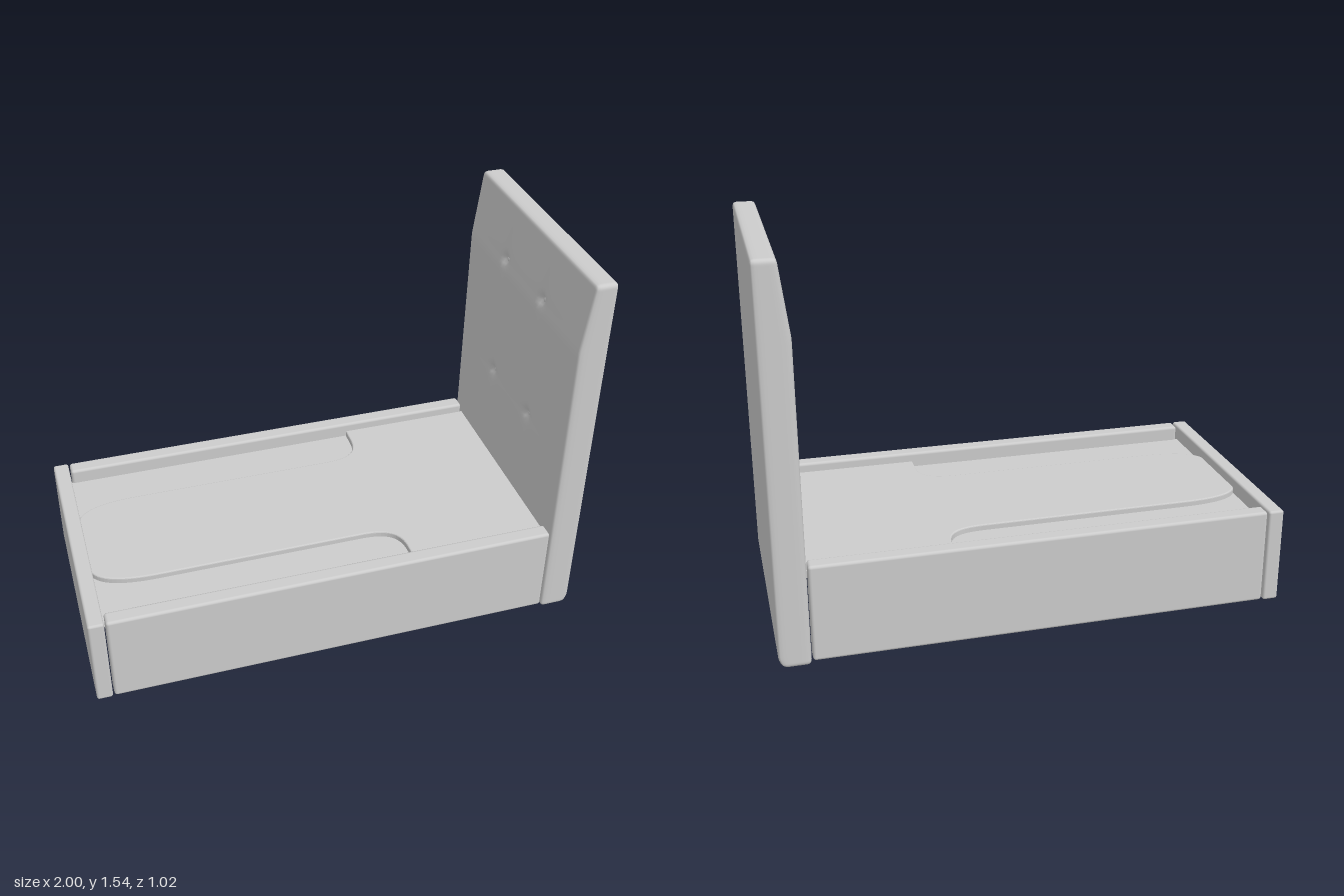
import * as THREE from 'three';
import { mergeVertices } from 'three/addons/utils/BufferGeometryUtils.js';
import { RoundedBoxGeometry } from 'three/addons/geometries/RoundedBoxGeometry.js';

const material = new THREE.MeshStandardMaterial({ color: 0xcccccc });

function addMesh(group, name, geometry, x = 0, y = 0, z = 0) {
  const mesh = new THREE.Mesh(geometry, material);
  mesh.name = name;
  mesh.position.set(x, y, z);
  group.add(mesh);
  return mesh;
}

// Box panel given by its two corners, with softly rounded edges
function addPanel(group, name, min, max, radius) {
  const size = max.map((v, i) => v - min[i]);
  const mid = max.map((v, i) => (v + min[i]) / 2);
  addMesh(group, name, new RoundedBoxGeometry(...size, 3, radius), ...mid);
}

// Tuft positions on the headboard, as [y, z]
const tufts = [];
for (const y of [0.77, 1.3]) for (const z of [-0.17, 0.17]) tufts.push([y, z]);

const taper = (y) => 0.034 * Math.max(0, (y - 1.26) / 0.28);

// Depth of the padding's dimple and its cross-shaped creases
function dimple(y, z) {
  let depth = 0;
  for (const [ty, tz] of tufts) {
    const dy = Math.abs(y - ty), dz = Math.abs(z - tz);
    depth += 0.014 * Math.exp(-(dy * dy + dz * dz) / 0.0006);
    depth += 0.004 * Math.exp(-dy / 0.012 - dz / 0.06);
    depth += 0.004 * Math.exp(-dz / 0.012 - dy / 0.06);
  }
  return depth;
}

// Upholstered headboard: rounded slab, tapered at the top front and tufted
function headboardGeometry() {
  const half = new THREE.Vector3(0.061, 0.77, 0.512);
  const r = 0.018;
  let geo = new THREE.BoxGeometry(2, 2, 2, 8, 120, 90);
  geo.deleteAttribute('normal');
  geo.deleteAttribute('uv');
  geo = mergeVertices(geo);
  const pos = geo.attributes.position;
  const p = new THREE.Vector3(), core = new THREE.Vector3();
  const inner = half.clone().subScalar(r);
  const spread = (u) => 0.3 * u + 0.7 * Math.sin(u * Math.PI / 2);
  for (let i = 0; i < pos.count; i++) {
    p.fromBufferAttribute(pos, i);
    p.set(spread(p.x), spread(p.y), spread(p.z)).multiply(half);
    core.copy(p).clamp(inner.clone().negate(), inner);
    p.sub(core).normalize().multiplyScalar(r).add(core);
    const y = p.y + half.y;
    const front = (half.x - p.x) / (2 * half.x);
    p.x += front * (taper(y) + dimple(y, p.z));
    // Softer roll along the bottom back edge
    const roll = Math.max(0, 1 - y / 0.05);
    p.x -= (1 - front) * 0.02 * roll * roll;
    pos.setXYZ(i, p.x, p.y, p.z);
  }
  geo.computeVertexNormals();
  return geo;
}

// Platform deck: full width at the head, narrowed by a shallow pocket each side
function deckGeometry() {
  const s = new THREE.Shape();
  s.moveTo(0.885, -0.45);
  s.lineTo(0.885, 0.45);
  s.lineTo(0.312, 0.45);
  s.lineTo(0.312, 0.38);
  s.bezierCurveTo(0.312, 0.28, 0.26, 0.252, 0.15, 0.252);
  s.lineTo(-0.68, 0.252);
  s.bezierCurveTo(-0.84, 0.252, -0.93, 0.22, -0.945, 0.15);
  s.lineTo(-0.945, -0.15);
  s.bezierCurveTo(-0.93, -0.22, -0.84, -0.252, -0.68, -0.252);
  s.lineTo(0.15, -0.252);
  s.bezierCurveTo(0.26, -0.252, 0.312, -0.28, 0.312, -0.38);
  s.lineTo(0.312, -0.45);
  const geo = new THREE.ExtrudeGeometry(s, {
    depth: 0.019, curveSegments: 16,
    bevelThickness: 0.006, bevelSize: 0.006, bevelOffset: -0.006, bevelSegments: 3,
  });
  return geo.rotateX(-Math.PI / 2);
}

export function createModel() {
  const group = new THREE.Group();
  group.name = 'bed';

  addMesh(group, 'headboard', headboardGeometry(), 0.938, 0.77, 0);

  // Buttons sunk into the padding
  const button = new THREE.SphereGeometry(0.011, 16, 10).scale(0.6, 1, 1);
  for (const [y, z] of tufts) {
    addMesh(group, 'headboardButton', button, 0.877 + taper(y) + dimple(y, z) - 0.002, y, z);
  }

  // Frame around the platform
  addPanel(group, 'footboard', [-1, 0.013, -0.511], [-0.937, 0.405, 0.511], 0.01);
  for (const side of [-1, 1]) {
    const z = [side * 0.445, side * 0.51].sort((a, b) => a - b);
    addPanel(group, 'sideRail', [-0.931, 0.015, z[0]], [0.872, 0.405, z[1]], 0.012);
  }

  // Sleeping platform: base sheet forming the pocket floors, and the deck on it
  addMesh(group, 'platformBase', new THREE.BoxGeometry(1.83, 0.01, 0.9), -0.03, 0.337, 0);
  addMesh(group, 'platformDeck', deckGeometry(), 0, 0.341, 0);

  return group;
}
